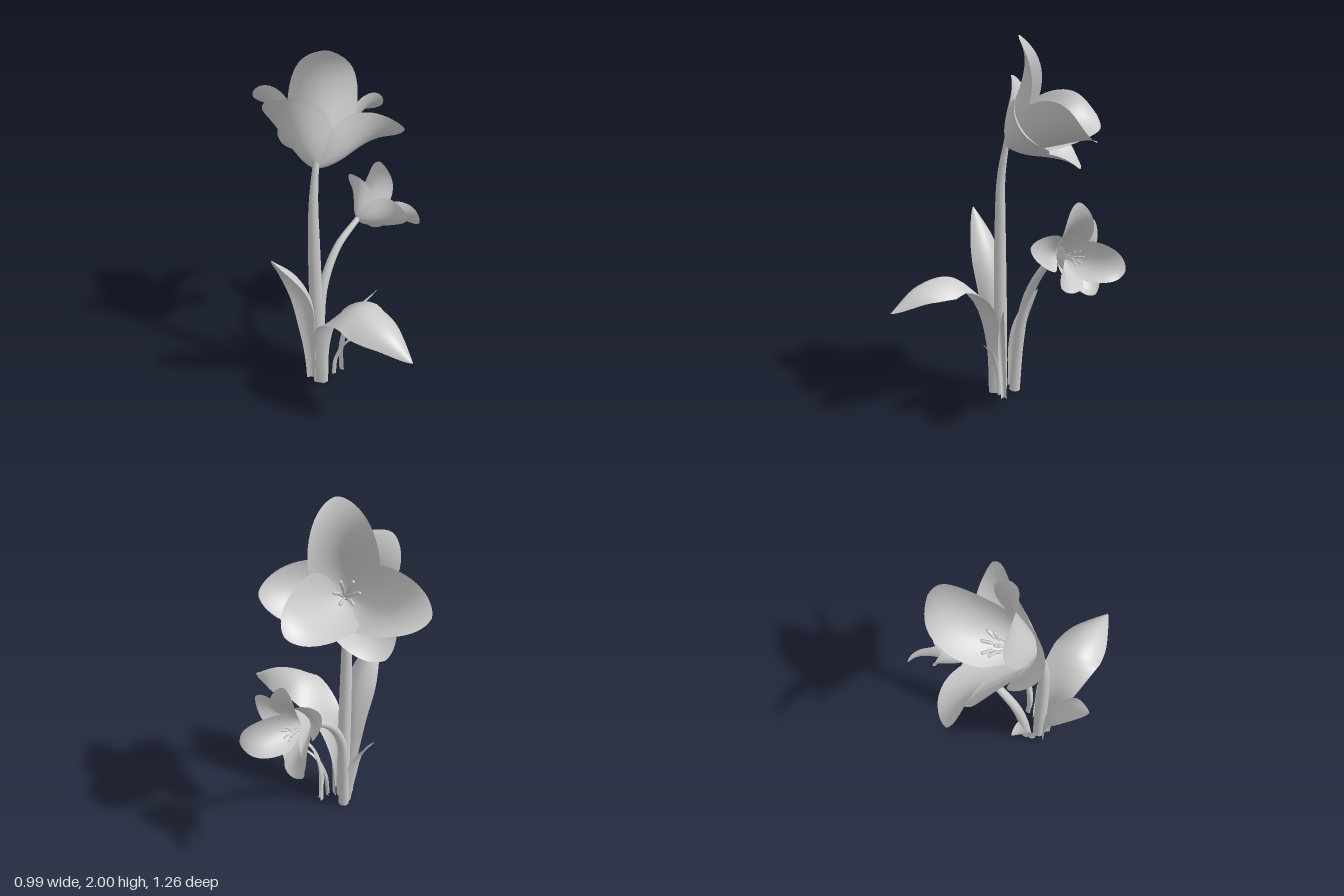
import * as THREE from 'three';

const mat = new THREE.MeshStandardMaterial({ color: 0xcccccc, side: THREE.DoubleSide });
const V = (p) => new THREE.Vector3(...p);

function add(parent, name, geo) {
  const m = new THREE.Mesh(geo, mat);
  m.name = name;
  parent.add(m);
  return m;
}

// Thin surface swept along a curve: half width and cupping vary with t
function bladeGeometry(curve, side, halfWidth, cup, nt = 30, nu = 12) {
  const pos = [], idx = [];
  for (let i = 0; i <= nt; i++) {
    const t = (1 - Math.cos((i / nt) * Math.PI)) / 2;
    const c = curve.getPoint(t), T = curve.getTangent(t);
    const S = side.clone().addScaledVector(T, -side.dot(T)).normalize();
    const N = new THREE.Vector3().crossVectors(T, S);
    const w = halfWidth(t);
    for (let j = 0; j <= nu; j++) {
      const u = (j / nu) * 2 - 1;
      const p = c.clone().addScaledVector(S, u * w).addScaledVector(N, cup(t) * w * u * u);
      pos.push(p.x, p.y, p.z);
      if (i < nt && j < nu) {
        const a = i * (nu + 1) + j, b = a + nu + 1;
        idx.push(a, a + 1, b, a + 1, b + 1, b);
      }
    }
  }
  const g = new THREE.BufferGeometry();
  g.setAttribute('position', new THREE.Float32BufferAttribute(pos, 3));
  g.setIndex(idx);
  g.computeVertexNormals();
  return g;
}

// Round tube that tapers from r0 to r1; a higher power keeps it thick for longer
function taperedTube(points, r0, r1, power = 1, seg = 40, sides = 16) {
  const curve = new THREE.CatmullRomCurve3(points.map(V));
  const g = new THREE.TubeGeometry(curve, seg, 1, sides);
  const pos = g.attributes.position, p = new THREE.Vector3();
  for (let i = 0; i < pos.count; i++) {
    const t = Math.floor(i / (sides + 1)) / seg, c = curve.getPointAt(t);
    p.fromBufferAttribute(pos, i).sub(c).multiplyScalar(r0 + (r1 - r0) * t ** power).add(c);
    pos.setXYZ(i, p.x, p.y, p.z);
  }
  g.computeVertexNormals();
  return g;
}

// Oval petal outline, widest just past the middle
function petalShape(t) {
  const s = t ** 1.15;
  return Math.max(0.01, (4 * s * (1 - s)) ** 0.6);
}

// Flower: cupped petals flaring out to their flat tips, with stamens round the axis
function flower(name, base, axis, size, petals) {
  const g = new THREE.Group();
  g.name = name;
  const B = V(base), A = V(axis).normalize();
  for (const [tip, w] of petals) {
    const d = V(tip).sub(B), h = d.dot(A);
    const R = d.clone().addScaledVector(A, -h), r = R.length();
    R.normalize();
    const at = (hh, rr) => B.clone().addScaledVector(A, h * hh).addScaledVector(R, r * rr);
    const curve = new THREE.CubicBezierCurve3(at(0, 0), at(0.22, 0.42), at(0.92, 0.45), at(1, 1));
    add(g, 'petal', bladeGeometry(curve, new THREE.Vector3().crossVectors(A, R),
      (t) => w * petalShape(t), (t) => 0.65 * (1 - t ** 3), 30, 14));
  }
  // Stamens
  const X = new THREE.Vector3(0, 1, 0).cross(A).normalize(), Y = A.clone().cross(X);
  for (let i = 0; i < 6; i++) {
    const a = (i / 6) * Math.PI * 2;
    const R = X.clone().multiplyScalar(Math.cos(a)).addScaledVector(Y, Math.sin(a));
    const at = (h, r) => B.clone().addScaledVector(A, h * size).addScaledVector(R, r * size).toArray();
    add(g, 'filament', taperedTube([at(0.05, 0.01), at(0.25, 0.04), at(0.42, 0.07)], 0.01 * size, 0.008 * size, 1, 10, 8));
    const anther = add(g, 'anther', new THREE.CapsuleGeometry(0.014 * size, 0.07 * size, 4, 8));
    anther.position.set(...at(0.43, 0.08));
    anther.quaternion.setFromUnitVectors(new THREE.Vector3(0, 1, 0), A.clone().addScaledVector(R, 0.7).normalize());
  }
  return g;
}

export function createModel() {
  const root = new THREE.Group();
  root.name = 'floweringPlant';

  // Stems
  add(root, 'mainStem', taperedTube([[-0.215, 0.01, -0.06], [-0.215, 0.5, -0.06], [-0.214, 1.0, -0.06],
    [-0.205, 1.25, -0.062], [-0.165, 1.47, -0.075]], 0.038, 0.014, 3));
  add(root, 'sideStem', taperedTube([[-0.155, 0.01, -0.115], [-0.13, 0.3, -0.125], [-0.077, 0.56, -0.14],
    [0.05, 0.765, -0.15], [0.21, 0.885, -0.14]], 0.031, 0.016, 2));

  // Leaves: path, side direction, base and widest half width, position of the widest point, cup at base and tip
  const leaves = [
    ['frontLeaf', [[-0.22, 0, 0.015], [-0.22, 0.3, 0.025], [-0.22, 0.56, 0.09], [-0.22, 0.73, 0.25],
      [-0.22, 0.715, 0.45], [-0.22, 0.6, 0.63]], [1, 0, 0], 0.05, 0.142, 0.64, 1.2, -0.6],
    ['sideLeaf', [[-0.245, 0, -0.06], [-0.25, 0.35, -0.06], [-0.275, 0.66, -0.06], [-0.355, 0.86, -0.065],
      [-0.5, 1.04, -0.07]], [0, 0, 1], 0.037, 0.097, 0.62, -0.8, -0.5],
    ['backLeaf', [[-0.19, 0.01, -0.135], [-0.19, 0.2, -0.16], [-0.185, 0.4, -0.2], [-0.175, 0.58, -0.3]],
      [-1, 0, 0], 0.033, 0.06, 0.5, 0.7, 0.35],
    ['tallBlade', [[-0.1, 0.01, 0], [-0.105, 0.25, 0.01], [-0.05, 0.45, 0.05], [0.08, 0.6, 0.13]],
      [-0.55, 0, 0.83], 0.016, 0.02, 0.4, 1.5, 0.8],
    ['shortBlade', [[-0.14, 0.01, 0.01], [-0.135, 0.15, 0.025], [-0.115, 0.28, 0.075], [-0.07, 0.37, 0.16]],
      [0.9, 0, -0.4], 0.014, 0.017, 0.4, 1.5, 0.8],
  ];
  for (const [name, pts, side, w0, w1, tm, c0, c1] of leaves) {
    const width = (t) => t < tm
      ? w0 + (w1 - w0) * (1 - Math.cos((t / tm) * Math.PI)) / 2
      : w1 * Math.pow(Math.max(0.002, Math.cos(((t - tm) / (1 - tm)) * Math.PI / 2)), 0.85);
    add(root, name, bladeGeometry(new THREE.CatmullRomCurve3(pts.map(V)), V(side), width,
      (t) => c0 + (c1 - c0) * Math.min(1, t * 1.5), 36, 12));
  }

  // Flowers: three inner and three outer petals, each given by tip and half width
  root.add(flower('largeFlower', [-0.17, 1.42, -0.07], [0.63, 0.57, -0.5], 0.6, [
    [[-0.07, 2.0, -0.08], 0.168], [[0.4, 1.51, -0.16], 0.168], [[-0.07, 1.57, -0.63], 0.168],
    [[0.24, 1.55, 0.14], 0.165], [[-0.31, 1.78, -0.24], 0.16], [[0.01, 1.3, -0.45], 0.16]]));
  root.add(flower('smallFlower', [0.2, 0.88, -0.135], [0.97, 0.14, 0.04], 0.36, [
    [[0.37, 1.19, -0.12], 0.102], [[0.49, 0.81, 0.08], 0.102], [[0.49, 0.83, -0.34], 0.102],
    [[0.31, 0.98, 0.13], 0.092], [[0.3, 1.07, -0.29], 0.092], [[0.39, 0.7, -0.23], 0.092]]));

  return root;
}
